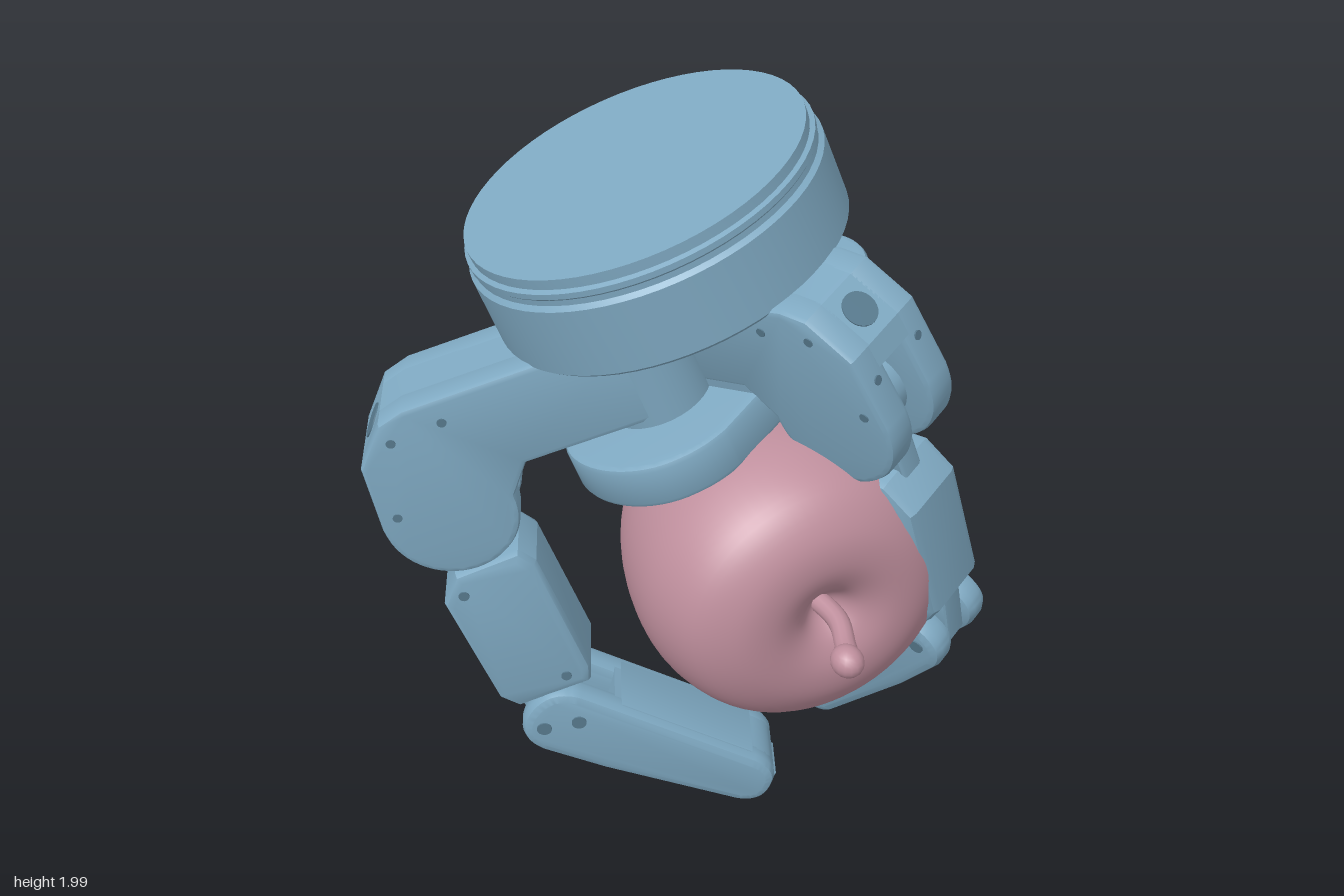
import * as THREE from 'three';
import { toCreasedNormals } from 'three/addons/utils/BufferGeometryUtils.js';

const blue = new THREE.MeshStandardMaterial({ color: 0x7fa9c2 });
const darkBlue = new THREE.MeshStandardMaterial({ color: 0x587a8e });
const pink = new THREE.MeshStandardMaterial({ color: 0xbf8f9d });
const red = new THREE.MeshStandardMaterial({ color: 0xa80808 });

function add(parent, name, geometry, material = blue, pos = [0, 0, 0]) {
  const mesh = new THREE.Mesh(geometry, material);
  mesh.name = name;
  mesh.position.set(...pos);
  parent.add(mesh);
  return mesh;
}

function shapeFrom(points) {
  return new THREE.Shape(points.map(([a, b]) => new THREE.Vector2(a, b)));
}

// Side profile (outward, up) extruded sideways by width, centred on x
function slab(shape, width, bevel = 0.015) {
  const g = new THREE.ExtrudeGeometry(shape, {
    depth: width - 2 * bevel, bevelEnabled: bevel > 0, bevelThickness: bevel,
    bevelSize: bevel, bevelOffset: -bevel, bevelSegments: 2, curveSegments: 14,
  });
  g.translate(0, 0, -(width - 2 * bevel) / 2);
  g.rotateY(-Math.PI / 2);
  return toCreasedNormals(g, 0.5);
}

const pin = (radius, length) => new THREE.CylinderGeometry(radius, radius, length, 20).rotateZ(Math.PI / 2);

const KNUCKLE = [0.74, -0.6], HINGE = [0.77, -1.34];

// Fixed housing: two cheeks, solid above, with a slot below for the moving link
function buildHousing(finger) {
  const cheek = shapeFrom([[0.12, -0.52], [0.12, -0.265], [0.72, -0.265], [0.79, -0.285], [0.885, -0.39], [0.915, -0.58]]);
  cheek.absarc(...KNUCKLE, 0.175, 0, -Math.PI, true);
  cheek.lineTo(0.5, -0.52);
  for (const s of [-1, 1]) add(finger, 'knuckleCheek', slab(cheek, 0.09), blue, [s * 0.088, 0, 0]);
  const core = shapeFrom([[0.12, -0.52], [0.12, -0.265], [0.72, -0.265], [0.79, -0.285],
    [0.885, -0.39], [0.895, -0.45], [0.78, -0.46], [0.56, -0.52]]);
  add(finger, 'housingCore', slab(core, 0.125, 0), blue);
  const cap = add(finger, 'housingCap', new THREE.CylinderGeometry(0.045, 0.045, 0.008, 24), darkBlue, [0, -0.338, 0.837]);
  cap.rotation.x = 0.835;
  add(finger, 'knucklePin', pin(0.1, 0.2), blue, [0, KNUCKLE[1], KNUCKLE[0]]);
  for (const s of [-1, 1]) {
    for (const [z, y] of [[0.64, -0.33], [0.78, -0.34], [0.86, -0.55]]) {
      add(finger, 'housingScrew', pin(0.012, 0.006), darkBlue, [s * 0.133, y, z]);
    }
    const screw = add(finger, 'endScrew', pin(0.012, 0.006), darkBlue, [s * 0.085, -0.47, 0.897]);
    screw.rotation.y = Math.PI / 2;
  }
}

// Middle link: boxy body with a narrow neck at each end
function buildMiddle(link) {
  const body = shapeFrom([[0.64, -0.79], [0.82, -0.8], [0.885, -0.88], [0.88, -1.22],
    [0.84, -1.27], [0.63, -1.26], [0.61, -1.21], [0.61, -0.84]]);
  add(link, 'middleLink', slab(body, 0.21, 0.025));
  const topNeck = shapeFrom([[0.68, -0.57], [0.82, -0.57], [0.84, -0.85], [0.67, -0.85]]);
  add(link, 'upperNeck', slab(topNeck, 0.07, 0.008));
  const endNeck = shapeFrom([[0.68, -1.24], [0.86, -1.24], [0.84, -1.4], [0.7, -1.4]]);
  add(link, 'lowerNeck', slab(endNeck, 0.07, 0.008));
  for (const s of [-1, 1]) for (const [z, y] of [[0.82, -0.86], [0.68, -1.21]]) {
    add(link, 'middleScrew', pin(0.014, 0.006), darkBlue, [s * 0.106, y, z]);
  }
}

// Fingertip: forked hinge end tapering to a blunt tip
function buildTip(tip) {
  const ear = new THREE.Shape();
  ear.moveTo(-0.11, -0.03);
  ear.quadraticCurveTo(-0.1, 0.065, 0, 0.075);
  ear.quadraticCurveTo(0.105, 0.08, 0.11, -0.02);
  ear.lineTo(0.1, -0.2);
  const core = shapeFrom([[-0.108, -0.13], [0.08, -0.17], [0.1, -0.2]]);
  for (const s of [ear, core]) {
    s.lineTo(0.055, -0.58);
    s.quadraticCurveTo(0.04, -0.65, -0.02, -0.65);
    s.quadraticCurveTo(-0.1, -0.65, -0.105, -0.56);
    s.closePath();
  }
  for (const s of [-1, 1]) add(tip, 'fingertipSide', slab(ear, 0.082, 0.025), blue, [s * 0.079, 0, 0]);
  add(tip, 'fingertipCore', slab(core, 0.135, 0));
  const pad = shapeFrom([[-0.112, -0.15], [-0.09, -0.15], [-0.09, -0.55], [-0.109, -0.55]]);
  add(tip, 'gripPad', slab(pad, 0.18, 0.003));
  add(tip, 'tipNail', slab(shapeFrom([[-0.05, -0.63], [0.03, -0.63], [0.02, -0.662], [-0.04, -0.662]]), 0.13, 0.005));
  for (const side of [-1, 1]) {
    for (const [z, y] of [[0.03, 0.015], [-0.03, -0.06]]) {
      add(tip, 'hingeScrew', pin(0.02, 0.008), darkBlue, [side * 0.12, y, z]);
    }
    const screw = add(tip, 'backScrew', pin(0.02, 0.02), darkBlue, [side * 0.045, -0.52, 0.058]);
    screw.rotation.y = Math.PI / 2;
  }
}

function buildFinger(name, angle, sideways, outward, bend, curl) {
  const turn = new THREE.Group();
  turn.name = name;
  turn.rotation.y = angle;
  const finger = new THREE.Group();
  finger.position.set(sideways, 0, outward);
  turn.add(finger);
  buildHousing(finger);
  // Spread hub at the inner end of the housing
  add(finger, 'spreadHub', new THREE.CylinderGeometry(0.135, 0.135, 0.29, 32), blue, [0, -0.41, 0.15]);
  const joint = new THREE.Group();
  joint.position.set(0, KNUCKLE[1], KNUCKLE[0]);
  joint.rotation.x = bend;
  finger.add(joint);
  const link = new THREE.Group();
  link.position.set(0, -KNUCKLE[1], -KNUCKLE[0]);
  joint.add(link);
  buildMiddle(link);
  const tip = new THREE.Group();
  tip.position.set(0, HINGE[1], HINGE[0]);
  tip.rotation.x = curl;
  link.add(tip);
  buildTip(tip);
  return turn;
}

function buildPalm(hand) {
  // Round wrist with a groove below its cap
  const profile = [[0, -0.28], [0.45, -0.28], [0.46, -0.27], [0.46, -0.085], [0.448, -0.075],
    [0.448, -0.06], [0.452, -0.055], [0.452, -0.04], [0.44, -0.035], [0.44, -0.008], [0, -0.008]];
  const wrist = new THREE.LatheGeometry(profile.map(([r, y]) => new THREE.Vector2(r, y)), 64);
  add(hand, 'wrist', toCreasedNormals(wrist, 0.5));
  // Core and rear motor block between wrist and plate
  add(hand, 'palmCore', new THREE.BoxGeometry(0.3, 0.3, 0.4), blue, [0, -0.41, 0.1]);
  add(hand, 'motorBlock', new THREE.BoxGeometry(0.24, 0.31, 0.26), blue, [0, -0.42, -0.23]);
  // Wide palm plate, straight in front and rounded at both ends
  const p = new THREE.Shape();
  p.moveTo(-0.18, -0.27);
  p.lineTo(0.18, -0.27);
  p.lineTo(0.4, -0.17);
  p.bezierCurveTo(0.52, -0.1, 0.53, 0.14, 0.4, 0.23);
  p.quadraticCurveTo(0.35, 0.27, 0.28, 0.28);
  p.lineTo(-0.28, 0.28);
  p.quadraticCurveTo(-0.35, 0.27, -0.4, 0.23);
  p.bezierCurveTo(-0.53, 0.14, -0.52, -0.1, -0.4, -0.17);
  p.closePath();
  const plate = new THREE.ExtrudeGeometry(p, { depth: 0.09, bevelSize: 0.015, bevelThickness: 0.015, bevelOffset: -0.015, bevelSegments: 2, curveSegments: 20 });
  plate.rotateX(Math.PI / 2);
  add(hand, 'palmPlate', toCreasedNormals(plate, 0.5), blue, [0, -0.55, 0]);
}

function buildApple() {
  const apple = new THREE.Group();
  apple.name = 'apple';
  const outline = [[0, -0.325], [0.03, -0.33], [0.07, -0.36], [0.14, -0.375], [0.22, -0.335], [0.305, -0.22], [0.36, -0.08],
    [0.386, 0.07], [0.378, 0.19], [0.335, 0.3], [0.25, 0.365], [0.16, 0.38], [0.085, 0.355], [0.035, 0.305], [0, 0.28]];
  const curve = new THREE.SplineCurve(outline.map(([r, y]) => new THREE.Vector2(r, y)));
  const points = curve.getPoints(70).map(v => new THREE.Vector2(Math.max(0, v.x), v.y));
  const body = add(apple, 'appleBody', new THREE.LatheGeometry(points, 64), pink, [0.075, 0.895, 0.25]);
  body.quaternion.setFromUnitVectors(new THREE.Vector3(0, 1, 0), new THREE.Vector3(-0.11, -0.01, 1).normalize());
  body.scale.x = 1.04;
  const path = new THREE.CatmullRomCurve3([[0.04, 0.89, 0.48], [0.045, 0.885, 0.62], [0.015, 0.872, 0.7], [-0.015, 0.876, 0.77]]
    .map(v => new THREE.Vector3(...v)));
  add(apple, 'stem', new THREE.TubeGeometry(path, 20, 0.027, 12), pink);
  add(apple, 'stemEnd', new THREE.SphereGeometry(0.04, 16, 12), pink, [-0.015, 0.876, 0.752]).scale.z = 1.15;
  return apple;
}

// Arrow pointing down away from the palm
function buildArrow() {
  const arrow = new THREE.Group();
  arrow.name = 'directionArrow';
  arrow.position.set(0.27, 0.21, 0.16);
  arrow.quaternion.setFromUnitVectors(new THREE.Vector3(0, 1, 0), new THREE.Vector3(-0.32, 0.935, 0.1).normalize());
  add(arrow, 'arrowHead', new THREE.ConeGeometry(0.065, 0.16, 24).rotateX(Math.PI), red, [0, 0.08, 0]);
  add(arrow, 'arrowShaft', new THREE.CylinderGeometry(0.034, 0.034, 0.5, 24), red, [0, 0.41, 0]);
  return arrow;
}

export function createModel() {
  const model = new THREE.Group();
  model.name = 'gripperHoldingApple';

  // Tilted hand frame: y along the wrist axis, z towards the fixed finger
  const up = new THREE.Vector3(-0.32, 0.935, -0.15).normalize();
  const side = new THREE.Vector3().crossVectors(up, new THREE.Vector3(0.309, 0.252, 0.917)).normalize();
  const front = new THREE.Vector3().crossVectors(side, up);
  const hand = new THREE.Group();
  hand.name = 'gripperHand';
  hand.quaternion.setFromRotationMatrix(new THREE.Matrix4().makeBasis(side, up, front));
  hand.position.set(-0.13, 1.855, -0.08);
  model.add(hand);

  buildPalm(hand);
  const spread = THREE.MathUtils.degToRad(138.5);
  hand.add(buildFinger('fixedFinger', 0, -0.02, -0.255, 0.13, 0.76));
  hand.add(buildFinger('spreadFingerRight', -spread, 0.155, -0.012, 0, 0.74));
  hand.add(buildFinger('spreadFingerLeft', spread, -0.165, -0.015, 0, 0.76));

  model.add(buildApple(), buildArrow());
  return model;
}
